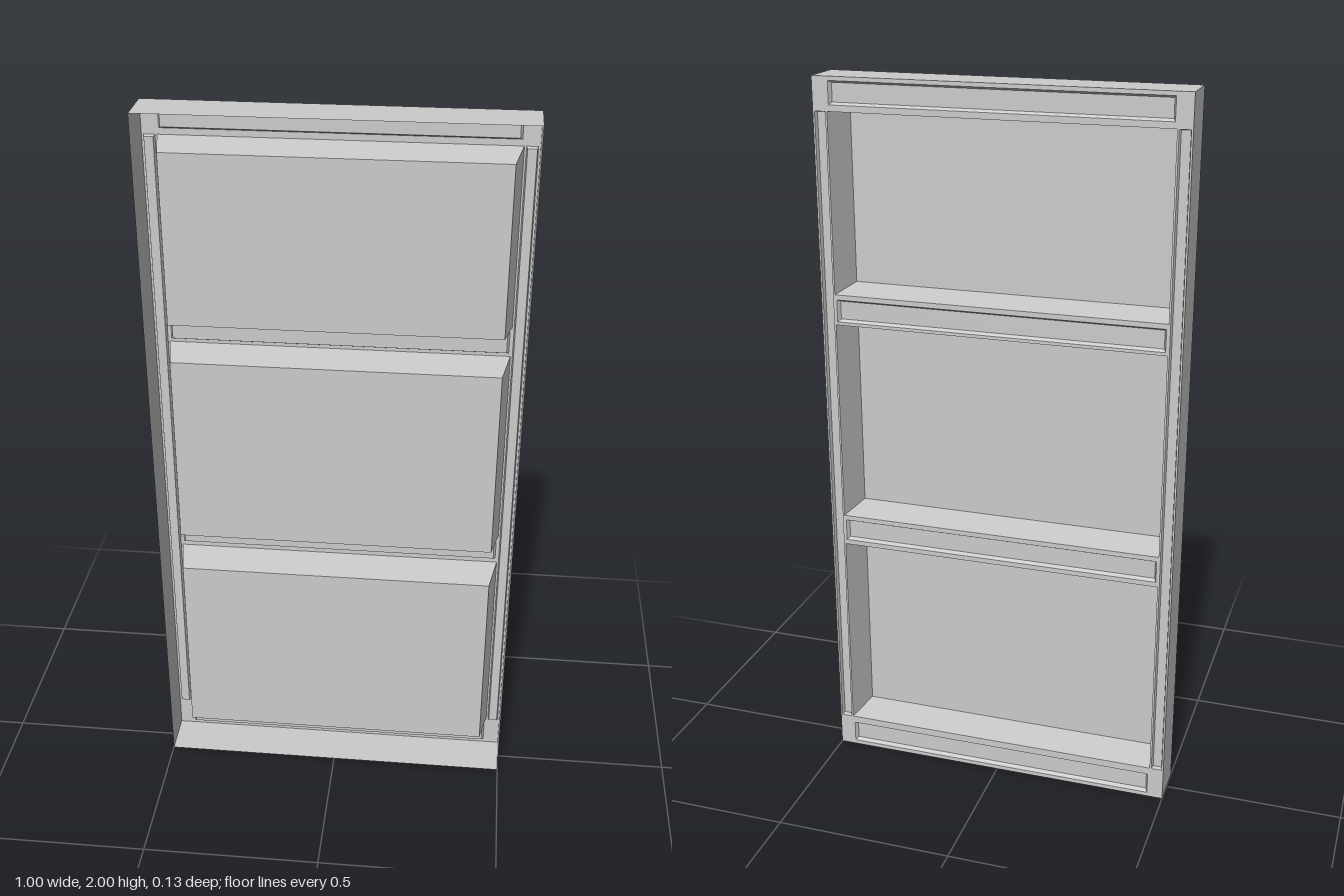
import * as THREE from 'three';

const material = new THREE.MeshStandardMaterial({ color: 0xcccccc, side: THREE.DoubleSide, flatShading: true });
const BACK = -0.063, FRONT = 0.063;

function add(group, name, geometry) {
  const mesh = new THREE.Mesh(geometry, material);
  mesh.name = name;
  group.add(mesh);
}

// Four thin walls from rectangle a at zA to rectangle b at zB, optionally closed at zB.
// Rectangles are [x0, y0, x1, y1].
function pan(a, zA, b, zB, capped) {
  const ring = ([x0, y0, x1, y1], z) => [x0, y0, z, x1, y0, z, x1, y1, z, x0, y1, z];
  const index = [];
  for (let i = 0; i < 4; i++) {
    const j = (i + 1) % 4;
    index.push(i, j, j + 4, i, j + 4, i + 4);
  }
  if (capped) index.push(4, 5, 6, 4, 6, 7);
  const indexed = new THREE.BufferGeometry();
  indexed.setAttribute('position', new THREE.Float32BufferAttribute([...ring(a, zA), ...ring(b, zB)], 3));
  indexed.setIndex(index);
  const geometry = indexed.toNonIndexed();
  geometry.computeVertexNormals();
  return geometry;
}

const shrink = ([x0, y0, x1, y1], dx, dy) => [x0 + dx, y0 + dy, x1 - dx, y1 - dy];

function trace(path, [x0, y0, x1, y1]) {
  path.moveTo(x0, y0);
  path.lineTo(x1, y0);
  path.lineTo(x1, y1);
  path.lineTo(x0, y1);
  path.closePath();
  return path;
}

export function createModel() {
  const group = new THREE.Group();
  group.name = 'panelledFrame';
  const outer = [-0.5, 0, 0.5, 2];
  const plate = trace(new THREE.Shape(), outer);

  // Outer rim, open at the front
  add(group, 'outerRim', pan(outer, BACK, outer, FRONT, false));

  // Three deep tapered trays, open at the back
  for (const [y0, y1] of [[0.095, 0.675], [0.765, 1.335], [1.42, 1.91]]) {
    const mouth = [-0.46, y0, 0.46, y1];
    plate.holes.push(trace(new THREE.Path(), mouth));
    add(group, 'panelTray', pan(mouth, BACK, shrink(mouth, 0.02, 0.012), 0.043, true));
  }

  // Shallow grooves along the four rails
  for (const y of [0.043, 0.72, 1.375, 1.958]) {
    const mouth = [-0.455, y - 0.031, 0.455, y + 0.031];
    plate.holes.push(trace(new THREE.Path(), mouth));
    add(group, 'railGroove', pan(mouth, BACK, shrink(mouth, 0.006, 0.006), BACK + 0.012, true));
  }

  // Shallow grooves along the two stiles
  for (const side of [-1, 1]) {
    const mouth = [side * 0.48 - 0.015, 0.095, side * 0.48 + 0.015, 1.91];
    plate.holes.push(trace(new THREE.Path(), mouth));
    add(group, 'stileGroove', pan(mouth, BACK, shrink(mouth, 0.003, 0.003), BACK + 0.012, true));
  }

  // Back sheet joining rim, trays and grooves
  const sheet = new THREE.ShapeGeometry(plate);
  sheet.translate(0, 0, BACK);
  add(group, 'backSheet', sheet);
  return group;
}
